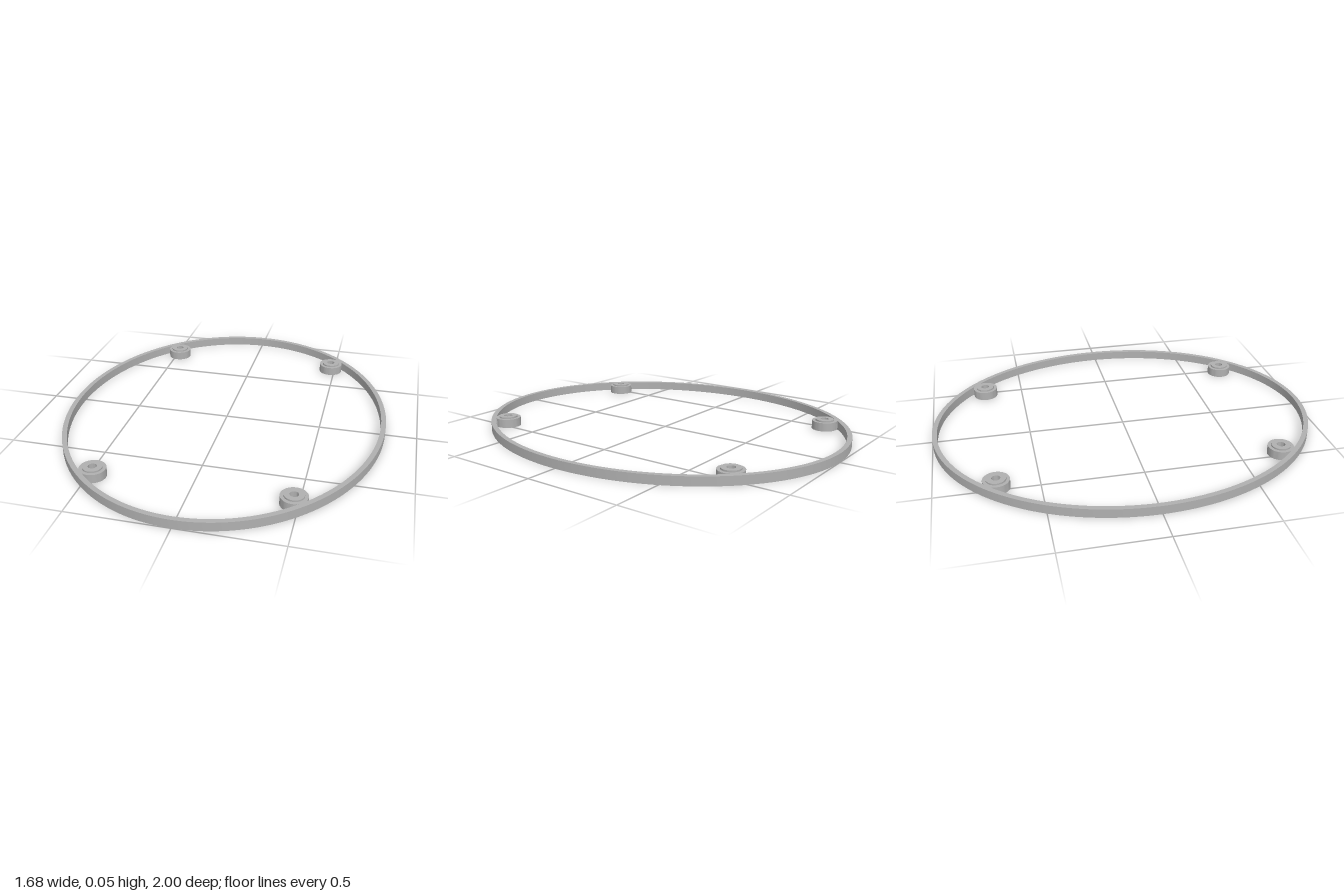
import * as THREE from 'three';
import { toCreasedNormals } from 'three/addons/utils/BufferGeometryUtils.js';

const HEIGHT = 0.045;

export function createModel() {
  const model = new THREE.Group();
  model.name = 'ovalFrame';
  const grey = new THREE.MeshStandardMaterial({ color: 0xb0b0b0 });
  grey.name = 'grey';

  const add = (parent, name, geometry) => {
    const mesh = new THREE.Mesh(toCreasedNormals(geometry, 0.5), grey);
    mesh.name = name;
    parent.add(mesh);
    return mesh;
  };

  // Thin oval wall
  const oval = new THREE.Shape().absellipse(0, 0, 0.84, 1, 0, Math.PI * 2);
  oval.holes.push(new THREE.Path().absellipse(0, 0, 0.815, 0.975, 0, Math.PI * 2, true));
  const wall = new THREE.ExtrudeGeometry(oval, { depth: HEIGHT, bevelEnabled: false, curveSegments: 128 });
  wall.rotateX(-Math.PI / 2);
  add(model, 'ovalWall', wall);

  // Boss section: stepped top, through hole, recess underneath
  const profile = [
    [0.047, 0], [0.065, 0], [0.065, HEIGHT], [0.048, HEIGHT], [0.048, 0.053],
    [0.021, 0.053], [0.021, 0.02], [0.047, 0.02], [0.047, 0],
  ].map(([r, y]) => new THREE.Vector2(r, y));

  for (const sx of [-1, 1]) {
    for (const sz of [-1, 1]) {
      const mount = new THREE.Group();
      mount.name = `${sz > 0 ? 'front' : 'back'}${sx > 0 ? 'Left' : 'Right'}Mount`;
      mount.position.set(sx * 0.477, 0, sz * 0.705);
      // Local +z points outward to the wall
      mount.rotation.y = Math.atan2(sx * 0.69, sz * 0.72);
      add(mount, 'boss', new THREE.LatheGeometry(profile, 48));

      // Short web joining the boss to the wall
      const web = add(mount, 'web', new THREE.BoxGeometry(0.056, HEIGHT - 0.001, 0.022));
      web.position.set(0, HEIGHT / 2, 0.064);
      model.add(mount);
    }
  }
  return model;
}
